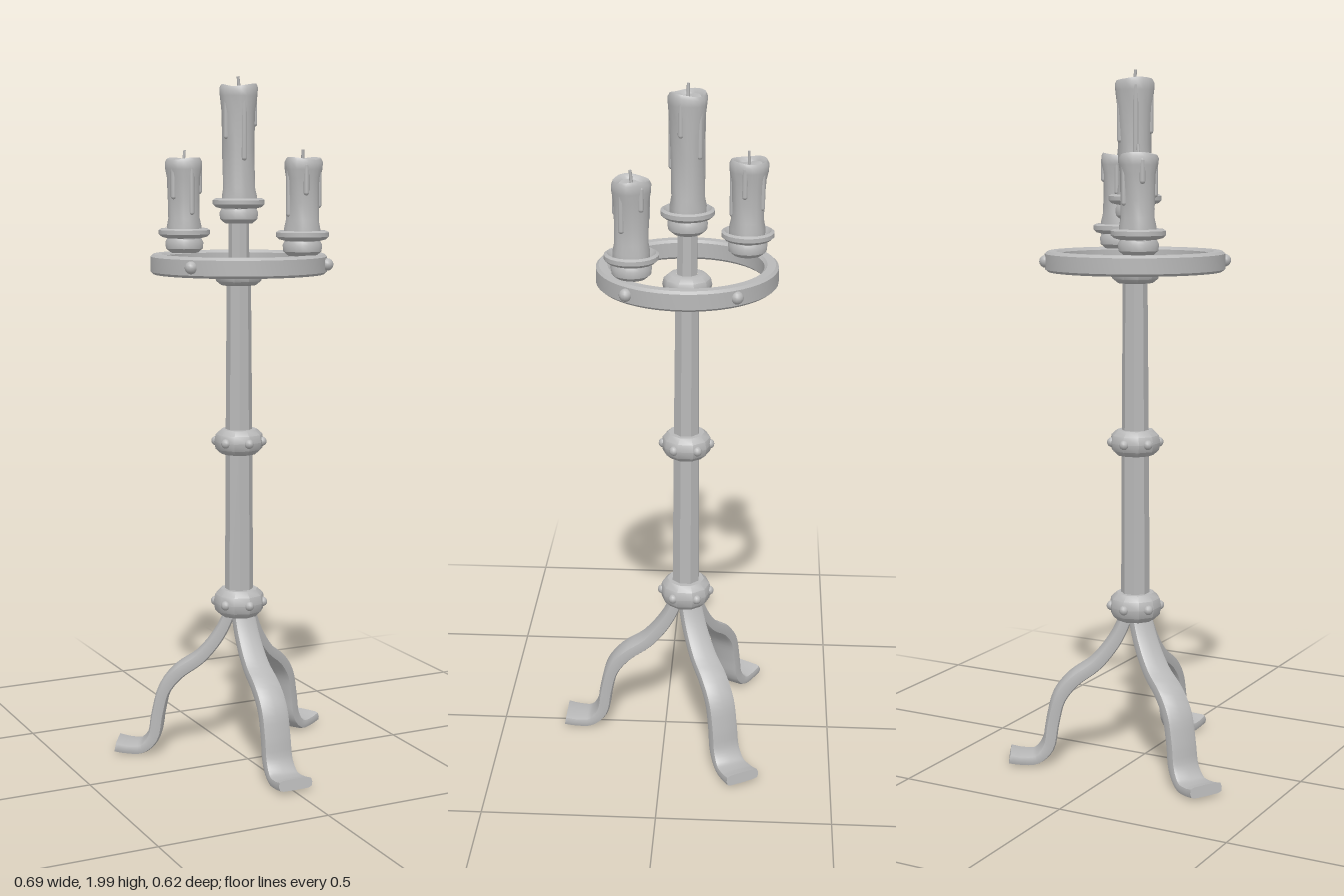
import * as THREE from 'three';
import { toCreasedNormals } from 'three/addons/utils/BufferGeometryUtils.js';

const iron = new THREE.MeshStandardMaterial({ color: 0xb8b8b8 });
iron.name = 'grey';
const V2 = (p) => new THREE.Vector2(p[0], p[1]);

function add(parent, name, geometry, x = 0, y = 0, z = 0) {
  const mesh = new THREE.Mesh(geometry, iron);
  mesh.name = name;
  mesh.position.set(x, y, z);
  parent.add(mesh);
  return mesh;
}

// Turned part from [radius, height] pairs listed bottom to top
function turned(points, sides, crease = 0.7) {
  return toCreasedNormals(new THREE.LatheGeometry(points.map(V2), sides), crease);
}

// Flat iron strap swept down an S curve, ending in a flared foot
function legGeometry() {
  // distance out, height, half width, half thickness
  const keys = [
    [0.015, 0.49, 0.033, 0.016], [0.032, 0.43, 0.034, 0.018], [0.062, 0.37, 0.036, 0.019],
    [0.115, 0.305, 0.039, 0.019], [0.18, 0.258, 0.042, 0.02], [0.222, 0.205, 0.043, 0.02],
    [0.242, 0.13, 0.043, 0.02], [0.256, 0.06, 0.044, 0.02], [0.29, 0.025, 0.047, 0.016],
    [0.335, 0.024, 0.051, 0.015], [0.368, 0.03, 0.053, 0.016],
  ];
  const curve = new THREE.CatmullRomCurve3(keys.map((k) => new THREE.Vector3(0, k[1], k[0])));
  const steps = 40, ring = 12, pos = [], idx = [];
  for (let i = 0; i <= steps; i++) {
    const t = i / steps, f = t * (keys.length - 1);
    const a = Math.min(Math.floor(f), keys.length - 2), m = f - a;
    const c = curve.getPoint(t), d = curve.getTangent(t);
    const w = THREE.MathUtils.lerp(keys[a][2], keys[a + 1][2], m);
    const h = THREE.MathUtils.lerp(keys[a][3], keys[a + 1][3], m);
    for (let j = 0; j < ring; j++) {
      const q = (j / ring) * Math.PI * 2;
      const sx = Math.sign(Math.cos(q)) * Math.abs(Math.cos(q)) ** 0.45 * w;
      const sn = Math.sign(Math.sin(q)) * Math.abs(Math.sin(q)) ** 0.45 * h;
      pos.push(sx, c.y + d.z * sn, c.z - d.y * sn);
    }
  }
  for (let i = 0; i < steps; i++) {
    for (let j = 0; j < ring; j++) {
      const k = (j + 1) % ring, a = i * ring + j, b = i * ring + k;
      idx.push(a, a + ring, b, b, a + ring, b + ring);
    }
  }
  // end caps
  const e = steps * ring;
  for (let j = 1; j < ring - 1; j++) idx.push(0, j, j + 1, e, e + j + 1, e + j);
  // make the winding face outward
  for (let i = 0; i < idx.length; i += 3) [idx[i + 1], idx[i + 2]] = [idx[i + 2], idx[i + 1]];
  const g = new THREE.BufferGeometry();
  g.setAttribute('position', new THREE.Float32BufferAttribute(pos, 3));
  g.setIndex(idx);
  fixWinding(g);
  return toCreasedNormals(g, 0.9);
}

// Flip all faces if the enclosed volume comes out negative
function fixWinding(g) {
  const p = g.attributes.position, ix = g.index.array;
  const a = new THREE.Vector3(), b = new THREE.Vector3(), c = new THREE.Vector3();
  let volume = 0;
  for (let i = 0; i < ix.length; i += 3) {
    a.fromBufferAttribute(p, ix[i]);
    b.fromBufferAttribute(p, ix[i + 1]);
    c.fromBufferAttribute(p, ix[i + 2]);
    volume += a.dot(b.cross(c));
  }
  if (volume < 0) for (let i = 0; i < ix.length; i += 3) [ix[i + 1], ix[i + 2]] = [ix[i + 2], ix[i + 1]];
}

// Cup, wax, drips and wick, standing on y = 0 of its own group
function candle(name, x, y, z, height, turn) {
  const g = new THREE.Group();
  g.name = name;
  g.position.set(x, y, z);
  g.rotation.y = turn;
  add(g, 'candleCup', turned([
    [0, 0], [0.04, 0], [0.054, 0.012], [0.056, 0.03], [0.05, 0.042], [0.066, 0.046],
    [0.075, 0.054], [0.075, 0.066], [0.067, 0.071], [0.06, 0.062], [0.052, 0.052], [0, 0.05],
  ], 20));

  // wax column with a wavy side and a hollow top
  const h = height;
  const wax = new THREE.LatheGeometry([
    [0, 0.04], [0.05, 0.04], [0.051, 0.075], [0.046, 0.1], [0.046, h * 0.55], [0.048, h * 0.8],
    [0.053, h - 0.03], [0.054, h - 0.01], [0.049, h], [0.042, h - 0.003], [0.036, h - 0.012], [0, h - 0.014],
  ].map(V2), 20);
  const p = wax.attributes.position;
  for (let i = 0; i < p.count; i++) {
    const a = Math.atan2(p.getZ(i), p.getX(i)), py = p.getY(i);
    const s = 1 + 0.04 * Math.sin(3 * a + py * 12) + 0.025 * Math.sin(5 * a - py * 20);
    p.setXYZ(i, p.getX(i) * s, py + (py > h - 0.02 ? 0.004 * Math.sin(2 * a) : 0), p.getZ(i) * s);
  }
  add(g, 'wax', toCreasedNormals(wax, 0.8));

  // wax runs down the side
  [0.3, 0.62, 0.42, 0.75, 0.5].forEach((len, i) => {
    const a = i * 1.26 + 0.4, l = len * (h - 0.09);
    const drip = add(g, 'waxDrip', new THREE.CapsuleGeometry(0.008, l, 3, 8),
      Math.cos(a) * 0.045, h - 0.018 - l / 2, Math.sin(a) * 0.045);
    drip.scale.set(1, 1, 1);
  });
  const wick = add(g, 'wick', new THREE.CylinderGeometry(0.004, 0.005, 0.042, 6), 0, h + 0.004, 0);
  wick.rotation.z = 0.1;
  return g;
}

export function createModel() {
  const root = new THREE.Group();
  root.name = 'candleStand';
  const stand = new THREE.Group();
  stand.name = 'stand';
  stand.position.z = -0.06;
  root.add(stand);

  // pole in two faceted lengths and a thinner neck
  [[0.43, 0.96, 0.042, 0.039], [0.96, 1.44, 0.039, 0.035], [1.42, 1.6, 0.031, 0.029]].forEach(([y0, y1, r0, r1]) => {
    const geo = toCreasedNormals(new THREE.CylinderGeometry(r1, r0, y1 - y0, 8), 0.3);
    add(stand, 'pole', geo, 0, (y0 + y1) / 2, 0).rotation.y = Math.PI / 8;
  });

  // rounded collars with studs
  [[0.475, 0.076, 0.04], [0.955, 0.073, 0.036], [1.44, 0.07, 0.03]].forEach(([y, r, h]) => {
    add(stand, 'collar', turned([
      [0.03, -h], [r * 0.72, -h], [r * 0.94, -h * 0.6], [r, 0], [r * 0.94, h * 0.6], [r * 0.72, h], [0.03, h],
    ], 10), 0, y, 0);
    if (y > 1.2) return;
    for (let i = 0; i < 6; i++) {
      const a = (i * Math.PI) / 3;
      add(stand, 'collarStud', new THREE.SphereGeometry(0.014, 10, 8),
        Math.sin(a) * r * 0.92, y, Math.cos(a) * r * 0.92);
    }
  });

  // three strap legs
  const legShape = legGeometry();
  for (let i = 0; i < 3; i++) add(stand, 'leg', legShape).rotation.y = (i * Math.PI * 2) / 3;

  // hoop with softened edges
  add(stand, 'hoop', turned([
    [0.214, 1.45], [0.222, 1.443], [0.246, 1.443], [0.254, 1.45], [0.254, 1.493],
    [0.246, 1.5], [0.222, 1.5], [0.214, 1.493], [0.214, 1.45],
  ], 48, 0.6));

  // rivets on the outside of the hoop
  [[-0.215, 0.142], [0.206, 0.158], [0.21, -0.144]].forEach(([x, z]) => {
    add(stand, 'hoopRivet', new THREE.SphereGeometry(0.018, 12, 8), x * 0.99, 1.472, z * 0.99);
  });

  stand.add(candle('middleCandle', 0, 1.587, 0, 0.388, 0));
  stand.add(candle('leftCandle', 0.13, 1.498, 0.145, 0.272, 1.1));
  stand.add(candle('rightCandle', -0.098, 1.498, -0.165, 0.272, 2.7));
  return root;
}
